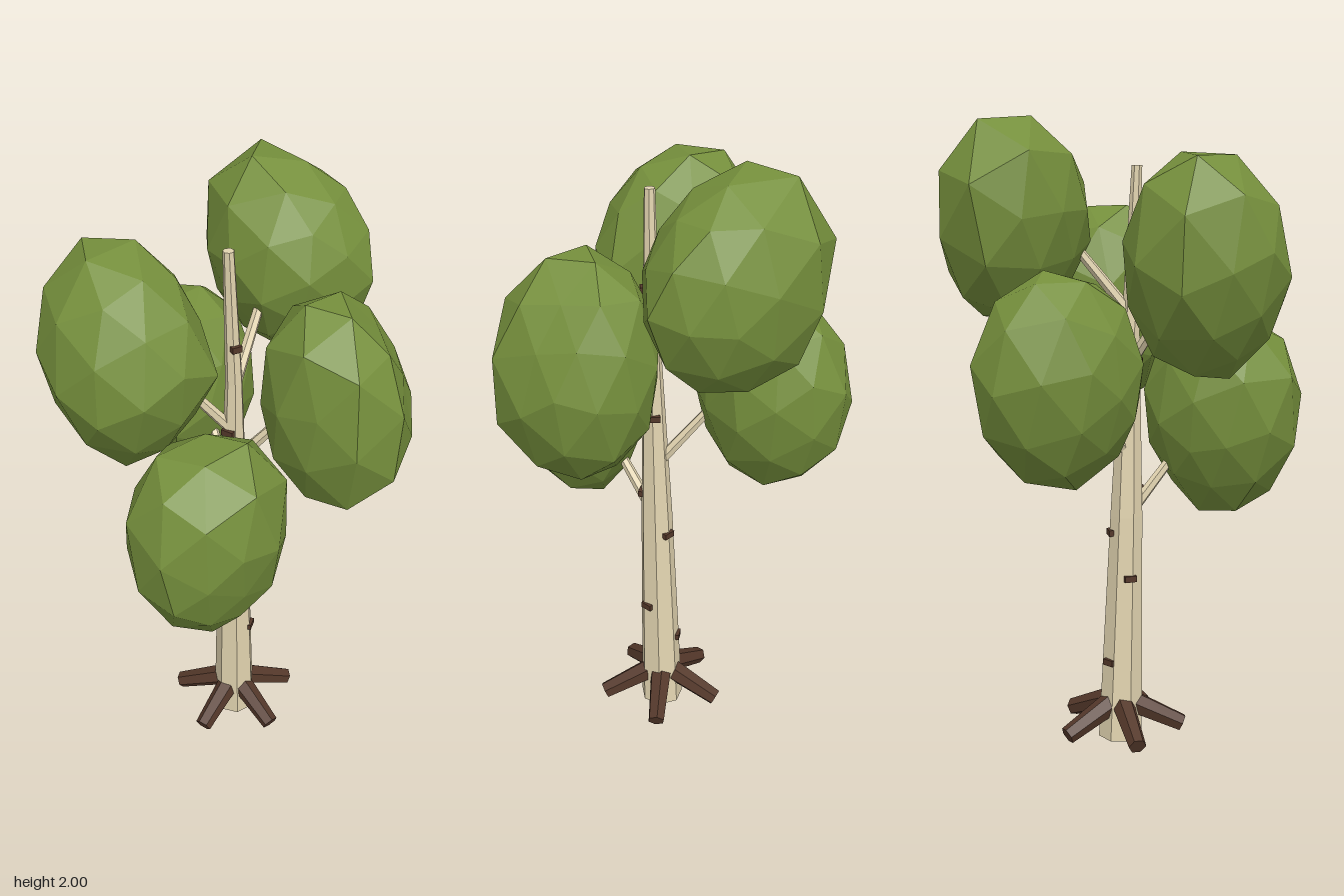
import * as THREE from 'three';
import { mergeVertices } from 'three/addons/utils/BufferGeometryUtils.js';

const V = (x, y, z) => new THREE.Vector3(x, y, z);
const UP = V(0, 1, 0);

function makeMaterial(name, color) {
  const m = new THREE.MeshStandardMaterial({ color, flatShading: true });
  m.name = name;
  return m;
}

// Trunk cross-sections: x, y, z of the centre, then radius
const SECTIONS = [
  [-0.02, 0, -0.025, 0.073],
  [-0.015, 0.75, -0.003, 0.053],
  [-0.007, 1.42, 0.014, 0.027],
  [-0.017, 1.86, 0.03, 0.017],
];

// Trunk centre and radius at a height
function trunkAt(y) {
  let i = 0;
  while (i < SECTIONS.length - 2 && y > SECTIONS[i + 1][1]) i++;
  const a = SECTIONS[i], b = SECTIONS[i + 1];
  const t = (y - a[1]) / (b[1] - a[1]);
  const [x, , z, r] = a.map((v, k) => v + (b[k] - v) * t);
  return { center: V(x, y, z), r };
}

// Seven-sided trunk that tapers and leans through the sections
function trunkGeometry() {
  const rows = SECTIONS.length - 1;
  const g = new THREE.CylinderGeometry(1, 1, 1, 7, rows, false, Math.PI / 7);
  const p = g.attributes.position;
  for (let i = 0; i < p.count; i++) {
    const [cx, cy, cz, r] = SECTIONS[Math.round((p.getY(i) + 0.5) * rows)];
    p.setXYZ(i, cx + p.getX(i) * r, cy, cz + p.getZ(i) * r);
  }
  g.computeVertexNormals();
  return g;
}

// Tapered six-sided limb between two points
function limb(name, from, to, r0, r1, material) {
  const dir = to.clone().sub(from);
  const mesh = new THREE.Mesh(new THREE.CylinderGeometry(r1, r0, dir.length(), 6), material);
  mesh.position.copy(from).addScaledVector(dir, 0.5);
  mesh.quaternion.setFromUnitVectors(UP, dir.normalize());
  mesh.name = name;
  return mesh;
}

// Leaf clumps: centre, half sizes, branch height, and how full the four
// diagonals (++, +-, -+, --) are in the xy, zy and xz planes
const CLUMPS = [
  {
    name: 'front', center: [0.01, 1.07, 0.325], half: [0.23, 0.333, 0.255], branchY: 0.74,
    xy: [1.2, 0.91, 1.11, 0.91], zy: [1.05, 0.95, 1.03, 0.9], xz: [0.88, 0.96, 1.09, 0.9],
  },
  {
    name: 'frontRight', center: [-0.27, 1.555, 0.175], half: [0.27, 0.335, 0.252], branchY: 1.24,
    xy: [0.91, 0.88, 1.1, 0.9], zy: [0.93, 0.97, 1.05, 0.96], xz: [0.97, 0.82, 0.99, 1.14],
  },
  {
    name: 'backTop', center: [0.06, 1.69, -0.345], half: [0.275, 0.31, 0.24], branchY: 1.4,
    xy: [0.91, 0.97, 1.24, 1], zy: [0.95, 0.9, 1.06, 1.02], xz: [0.91, 0.93, 0.93, 1.22],
  },
  {
    name: 'left', center: [0.31, 1.403, -0.01], half: [0.23, 0.338, 0.233], branchY: 1.12,
    xy: [0.83, 1.04, 1.07, 0.94], zy: [1.17, 1.1, 1.03, 1.05], xz: [1.21, 0.97, 1.04, 0.99],
  },
  {
    name: 'backRight', center: [-0.25, 1.225, -0.27], half: [0.21, 0.325, 0.26], branchY: 0.94,
    xy: [1, 0.95, 1, 0.95], zy: [1, 0.95, 1, 0.98], xz: [0.9, 0.92, 0.88, 1.05],
  },
];

// Extra radius from the diagonal that the direction (u, v) leans towards
const bulge = (full, u, v) => (full[(u < 0 ? 2 : 0) + (v < 0 ? 1 : 0)] - 1) * 2 * Math.abs(u * v);

// Faceted leaf clump: an icosphere bulged along its diagonals, then sized
function clumpGeometry({ center, half, xy, zy, xz }, turn) {
  let g = new THREE.IcosahedronGeometry(1, 1);
  g.deleteAttribute('uv');
  g.deleteAttribute('normal');
  g = mergeVertices(g, 1e-4);
  g.rotateX(turn).rotateY(turn * 1.7).rotateZ(turn * 0.6);
  const p = g.attributes.position, v = V(0, 0, 0);
  for (let i = 0; i < p.count; i++) {
    v.fromBufferAttribute(p, i);
    v.multiplyScalar(1 + bulge(xy, v.x, v.y) + bulge(zy, v.z, v.y) + bulge(xz, v.x, v.z));
    p.setXYZ(i, v.x, v.y, v.z);
  }
  g.center();
  const { max } = g.boundingBox;
  g.computeBoundingBox();
  g.scale(half[0] / max.x, half[1] / max.y, half[2] / max.z);
  g.translate(...center);
  g.computeVertexNormals();
  return g;
}

export function createModel() {
  const tree = new THREE.Group();
  tree.name = 'tree';
  const bark = makeMaterial('pale bark', 0xe2d4b0);
  const brown = makeMaterial('dark brown', 0x54382a);
  const green = makeMaterial('leaf green', 0x758f3c);

  const trunk = new THREE.Mesh(trunkGeometry(), bark);
  trunk.name = 'trunk';
  tree.add(trunk);

  // Five roots spread evenly around the base
  for (let i = 0; i < 5; i++) {
    const a = THREE.MathUtils.degToRad(34 + 72 * i);
    const at = (r, y) => V(-0.02 + Math.cos(a) * r, y, -0.025 + Math.sin(a) * r);
    tree.add(limb('root', at(0.04, 0.115), at(0.206, 0.042), 0.038, 0.029, brown));
  }

  // Leaf clumps, each with the branch that carries it
  CLUMPS.forEach((data, i) => {
    const clump = new THREE.Mesh(clumpGeometry(data, 0.5 + i * 0.9), green);
    clump.name = data.name + 'LeafClump';
    const start = trunkAt(data.branchY).center;
    const out = V(data.center[0] - start.x, 0, data.center[2] - start.z).setLength(0.18);
    const end = start.clone().add(out).add(V(0, 0.22, 0));
    tree.add(clump, limb(data.name + 'Branch', start, end, 0.02, 0.015, bark));
  });

  // Dark bark marks: height, then x and z of the facing direction
  const marks = [
    [0.265, -0.55, -0.85], [0.41, 1, 0], [0.55, -1, 0.1], [0.695, 0, -1],
    [0.835, 0.5, 0.85], [1.13, 0.7, -0.7], [1.25, -0.3, 1], [1.55, 0.7, 0.7],
  ];
  for (const [y, dx, dz] of marks) {
    const { center, r } = trunkAt(y);
    const mark = new THREE.Mesh(new THREE.BoxGeometry(Math.min(0.04, r * 1.3), 0.02, 0.022), brown);
    mark.name = 'barkMark';
    mark.position.copy(center).addScaledVector(V(dx, 0, dz).normalize(), r * 0.9);
    mark.rotation.y = Math.atan2(dx, dz);
    tree.add(mark);
  }
  return tree;
}
